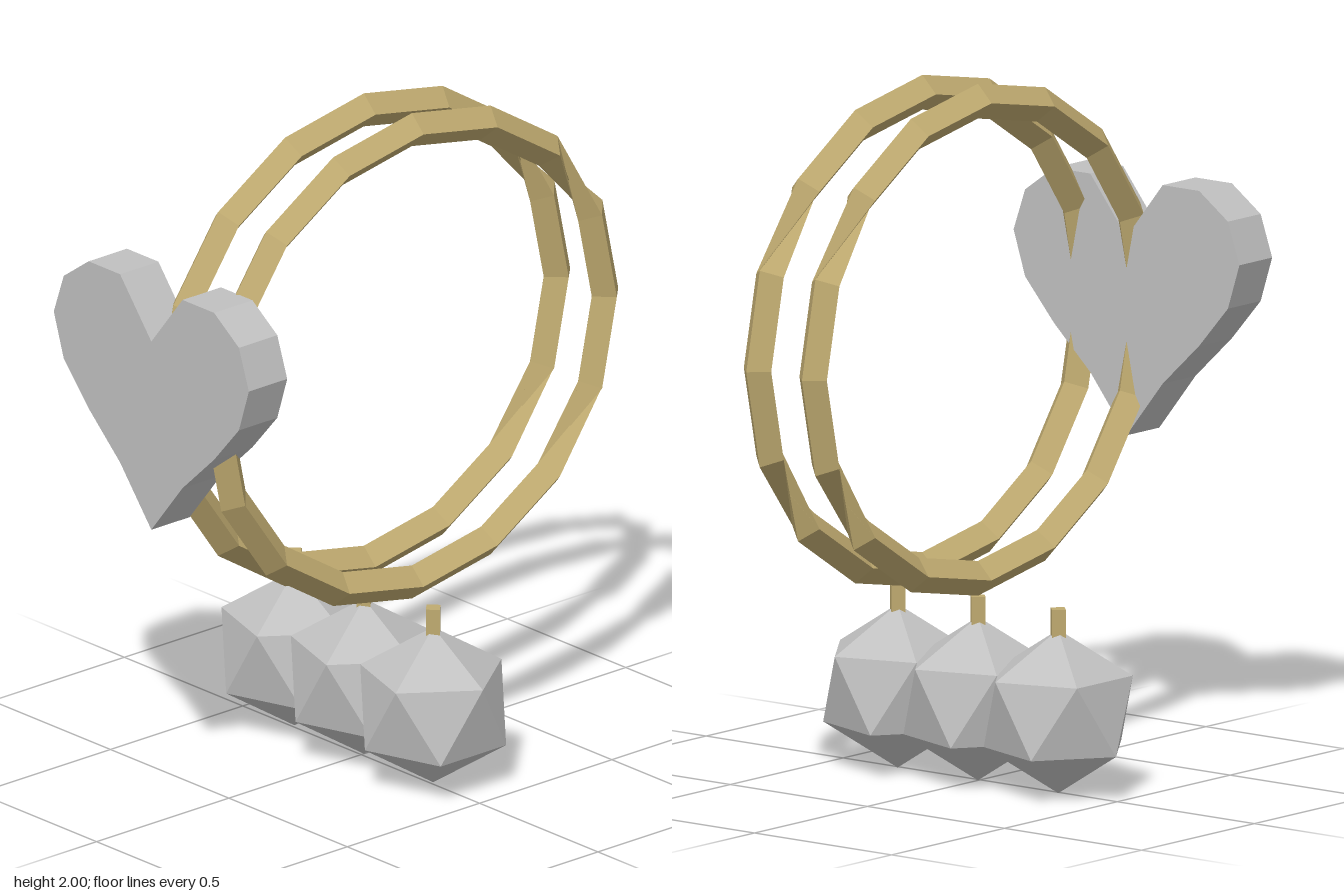
import * as THREE from 'three';

const gold = new THREE.MeshStandardMaterial({ color: 0xbfaa70 });
gold.name = 'gold';
const silver = new THREE.MeshStandardMaterial({ color: 0xc0c0c0 });
silver.name = 'silver';

const CENTRE_Z = -0.01;

function flat(geometry) {
  const g = geometry.index ? geometry.toNonIndexed() : geometry;
  g.computeVertexNormals();
  return g;
}

function addMesh(parent, name, geometry, material, x, y, z) {
  const mesh = new THREE.Mesh(geometry, material);
  mesh.name = name;
  mesh.position.set(x, y, z);
  parent.add(mesh);
  return mesh;
}

// Oval hoop of diamond section; the section turns a quarter between
// the steep side stretches and the flatter top and bottom stretches.
function hoopGeometry(radiusZ, radiusY, thickness, segments) {
  const positions = [];
  const index = [];
  const xAxis = new THREE.Vector3(1, 0, 0);
  const yAxis = new THREE.Vector3(0, 1, 0);
  for (let j = 0; j <= segments; j++) {
    const a = (j / segments) * Math.PI * 2;
    const p = new THREE.Vector3(0, radiusY * Math.sin(a), radiusZ * Math.cos(a));
    const t = new THREE.Vector3(0, radiusY * Math.cos(a), -radiusZ * Math.sin(a)).normalize();
    const up = Math.abs(t.y) > 0.9 ? xAxis : yAxis;
    const u = new THREE.Vector3().crossVectors(t, up).normalize();
    const v = new THREE.Vector3().crossVectors(u, t);
    for (let i = 0; i < 4; i++) {
      const b = (i * Math.PI) / 2;
      const q = p.clone()
        .addScaledVector(u, thickness * Math.cos(b))
        .addScaledVector(v, thickness * Math.sin(b));
      positions.push(q.x, q.y, q.z);
    }
  }
  for (let j = 0; j < segments; j++) {
    for (let i = 0; i < 4; i++) {
      const k = (i + 1) % 4;
      const a = j * 4 + i, b = j * 4 + k, c = a + 4, d = b + 4;
      index.push(a, c, b, b, c, d);
    }
  }
  const g = new THREE.BufferGeometry();
  g.setAttribute('position', new THREE.Float32BufferAttribute(positions, 3));
  g.setIndex(index);
  return flat(g);
}

// Heart plate, mirrored from its right-hand outline
function heartGeometry(depth) {
  const half = [
    [0.132, 1.625], [0.265, 1.625], [0.37, 1.55], [0.412, 1.43],
    [0.37, 1.3], [0.265, 1.18], [0.132, 1.055],
  ];
  const outline = [
    [0, 1.46], ...half, [0, 0.89],
    ...half.slice().reverse().map(([x, y]) => [-x, y]),
  ];
  const shape = new THREE.Shape(outline.map(([x, y]) => new THREE.Vector2(x, y)));
  return new THREE.ExtrudeGeometry(shape, { depth, bevelEnabled: false });
}

export function createModel() {
  const model = new THREE.Group();
  model.name = 'heartBracelet';

  // Two hoops side by side
  const hoop = hoopGeometry(0.73, 0.685, 0.05, 16);
  addMesh(model, 'mainHoop', hoop, gold, 0, 1.265, CENTRE_Z);
  addMesh(model, 'secondHoop', hoop, gold, 0.203, 1.265, CENTRE_Z);

  // Heart at the front
  addMesh(model, 'heart', heartGeometry(0.145), silver, 0, 0, 0.648);

  // Three faceted beads on short pins, each bead standing on a corner
  const bead = new THREE.IcosahedronGeometry(0.235, 0);
  bead.rotateZ(-Math.atan(2 / (1 + Math.sqrt(5))));
  const beadGeometry = flat(bead);
  const pin = flat(new THREE.CylinderGeometry(0.028, 0.028, 0.1, 4));
  for (const x of [-0.293, 0, 0.293]) {
    const charm = new THREE.Group();
    charm.name = 'charm';
    charm.position.set(x, 0, CENTRE_Z);
    addMesh(charm, 'bead', beadGeometry, silver, 0, 0.235, 0);
    addMesh(charm, 'pin', pin, gold, 0, 0.48, 0);
    model.add(charm);
  }

  return model;
}
